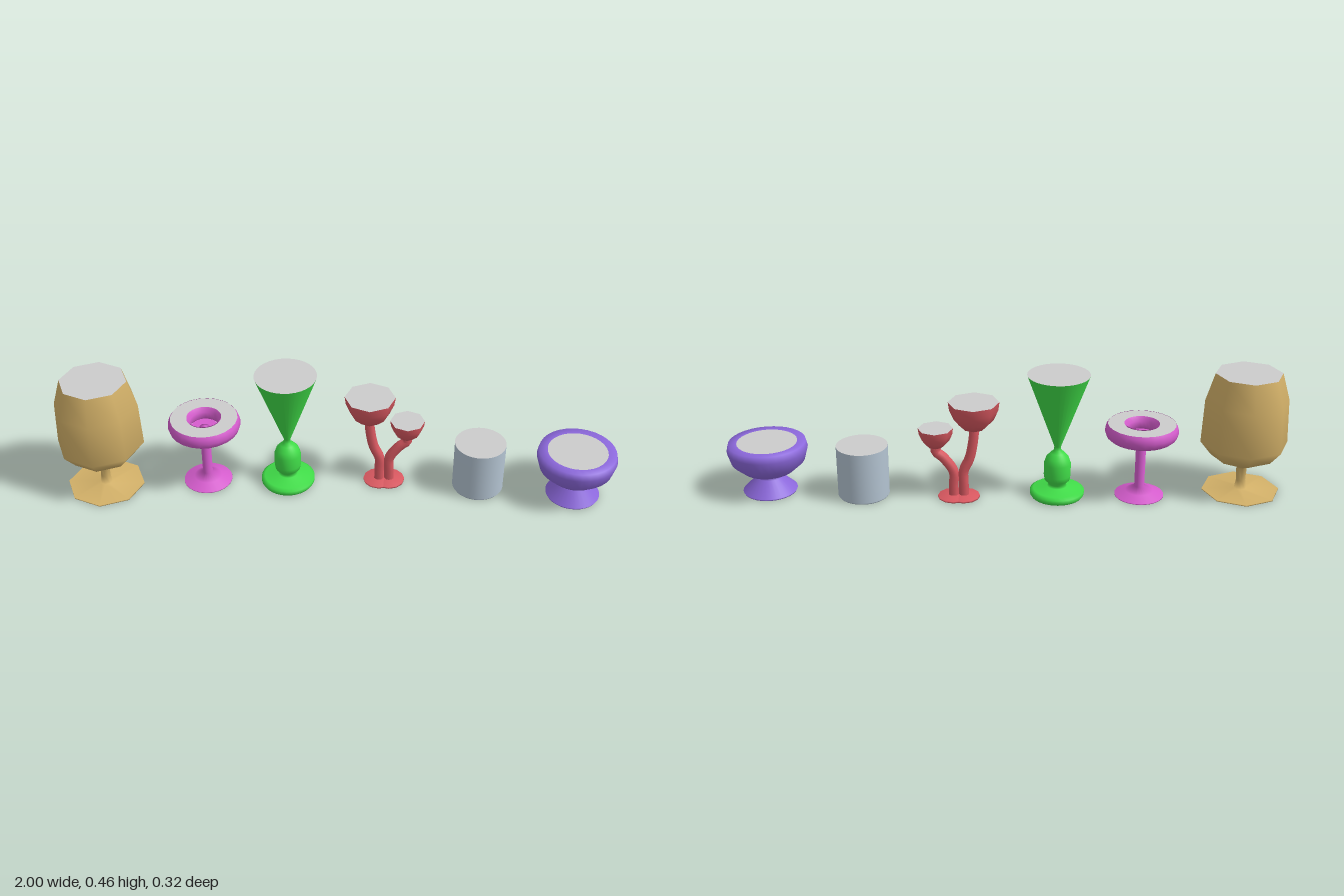
import * as THREE from 'three';

const paint = (color) => new THREE.MeshStandardMaterial({ color, side: THREE.DoubleSide });
const grey = paint(0xcccccc);

function named(name, geometry, material) {
  const mesh = new THREE.Mesh(geometry, material);
  mesh.name = name;
  return mesh;
}

// Turned part from [radius, height] pairs, listed from the bottom up
function turned(name, profile, sides, material) {
  const points = profile.map(([r, y]) => new THREE.Vector2(r, y));
  return named(name, new THREE.LatheGeometry(points, sides), material);
}

// Flat surface of the drink, optionally a ring
function drink(y, radius, sides, inner = 0) {
  const g = inner ? new THREE.RingGeometry(inner, radius, sides) : new THREE.CircleGeometry(radius, sides);
  const mesh = named('drinkSurface', g.rotateX(-Math.PI / 2), grey);
  mesh.position.y = y;
  return mesh;
}

function glass(name, x, z, ...parts) {
  const group = new THREE.Group();
  group.name = name;
  group.position.set(x, 0, z);
  group.add(...parts);
  return group;
}

export function createModel() {
  const model = new THREE.Group();
  const gold = paint(0xd2b068), pink = paint(0xd45ccc), green = paint(0x40dc48);
  const red = paint(0xd85860), blue = paint(0xb4c4d2), purple = paint(0x8c68dc);

  // Large eight-sided goblet
  model.add(glass('goblet', -0.845, 0.006,
    turned('gobletBody', [[0, 0], [0.139, 0], [0.139, 0.004], [0.022, 0.008], [0.017, 0.04], [0.019, 0.09],
      [0.035, 0.102], [0.115, 0.14], [0.155, 0.19], [0.148, 0.35], [0.118, 0.45]], 8, gold),
    drink(0.45, 0.118, 8)));

  // Ring-shaped glass on a slim stem
  model.add(glass('ringGlass', -0.475, -0.032,
    turned('ringGlassStem', [[0, 0], [0.088, 0], [0.088, 0.003], [0.05, 0.018], [0.018, 0.035], [0.018, 0.235],
      [0, 0.24]], 24, pink),
    turned('ringWeb', [[0.015, 0.233], [0.05, 0.235]], 24, pink),
    turned('ringBowl', [[0.062, 0.278], [0.05, 0.262], [0.048, 0.24], [0.062, 0.223], [0.085, 0.22], [0.112, 0.221],
      [0.124, 0.231], [0.13, 0.25], [0.126, 0.266], [0.12, 0.276]], 24, pink),
    drink(0.275, 0.12, 24, 0.062)));

  // Tall cone glass with a bulb above a domed foot
  model.add(glass('coneGlass', -0.18, -0.033,
    turned('coneGlassBody', [[0, 0], [0.092, 0], [0.097, 0.008], [0.097, 0.02], [0.085, 0.028], [0.035, 0.036],
      [0.03, 0.045], [0.045, 0.062], [0.048, 0.08], [0.048, 0.125], [0.04, 0.148], [0.025, 0.165],
      [0.013, 0.175], [0.012, 0.19], [0.11, 0.46]], 32, green),
    drink(0.46, 0.11, 32)));

  // Pair of small cups on leaning, curved stems
  const cups = [
    { name: 'largeCup', x: 0.115, r: 0.09, top: 0.365, depth: 0.105, foot: 0.153 },
    { name: 'smallCup', x: 0.25, r: 0.062, top: 0.266, depth: 0.074, foot: 0.189 },
  ];
  for (const { name, x, r, top, depth, foot } of cups) {
    const low = top - depth, dx = foot - x;
    const path = new THREE.CatmullRomCurve3([[dx, 0.005], [dx, 0.05], [dx, 0.1], [dx * 0.4, 0.155], [0, low - 0.015], [0, low + 0.01]]
      .map(([px, py]) => new THREE.Vector3(px, py, 0)));
    const bowl = turned('cupBowl', [[0, 0], [0.45, 0.08], [0.78, 0.36], [0.95, 0.7], [1, 1]]
      .map(([a, b]) => [a * r, low + b * depth]), 8, red);
    const base = turned('cupFoot', [[0, 0], [0.057, 0], [0.057, 0.006], [0.02, 0.012]], 12, red);
    base.position.x = dx;
    model.add(glass(name, x, -0.05, bowl, base, drink(top, r, 8),
      named('cupStem', new THREE.TubeGeometry(path, 20, 0.018, 10), red)));
  }

  // Straight tumbler
  model.add(glass('tumbler', 0.513, -0.028,
    turned('tumblerBody', [[0, 0], [0.088, 0], [0.092, 0.006], [0.092, 0.192]], 32, blue),
    drink(0.192, 0.092, 32)));

  // Wide bowl with a thick rim and flared foot
  model.add(glass('bowlGlass', 0.855, 0.006,
    turned('bowlGlassBody', [[0, 0], [0.094, 0], [0.097, 0.006], [0.047, 0.056], [0.047, 0.07], [0.092, 0.085],
      [0.13, 0.12], [0.143, 0.165], [0.137, 0.19], [0.107, 0.19]], 32, purple),
    drink(0.19, 0.107, 32)));

  return model;
}
